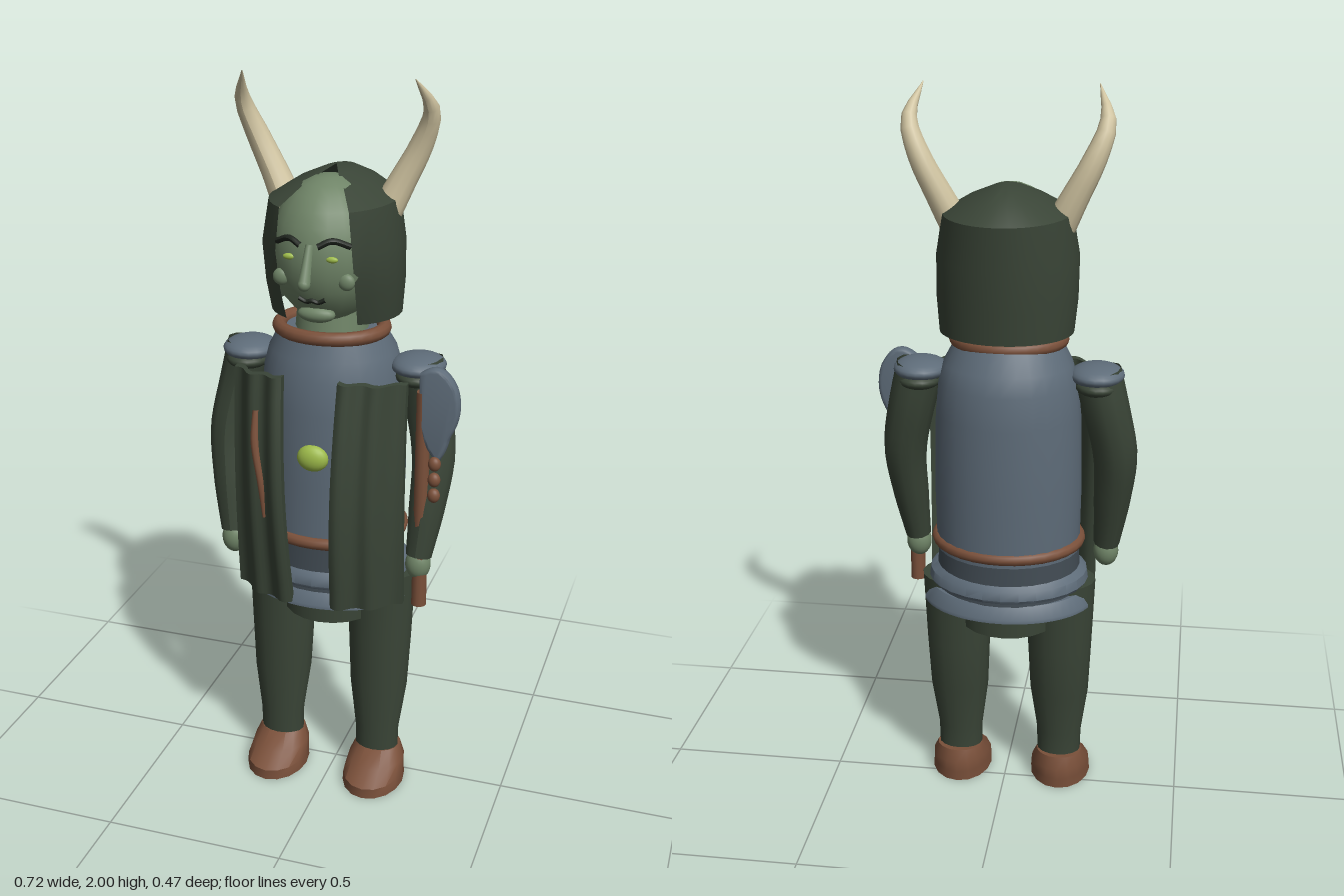
import * as THREE from 'three';
import { toCreasedNormals } from 'three/addons/utils/BufferGeometryUtils.js';

const mat = (name, color, side = THREE.FrontSide) => {
  const m = new THREE.MeshStandardMaterial({ color, side });
  m.name = name;
  return m;
};

export function createModel() {
  const cloth = mat('dark green cloth', 0x3a4537, THREE.DoubleSide);
  const steel = mat('blue grey steel', 0x5e6c79, THREE.DoubleSide);
  const darkSteel = mat('dark steel', 0x434d55);
  const skin = mat('green skin', 0x6f8467);
  const leather = mat('brown leather', 0x7a503a);
  const horn = mat('horn', 0xcfc3a0);
  const lime = mat('lime', 0x9dba4a);
  const ink = mat('dark brow', 0x20261f);

  const model = new THREE.Group();
  model.name = 'hornedFigure';
  const body = new THREE.Group();
  body.name = 'body';
  body.position.x = -0.012;
  model.add(body);

  const add = (name, geometry, material, x = 0, y = 0, z = 0) => {
    const mesh = new THREE.Mesh(geometry, material);
    mesh.name = name;
    mesh.position.set(x, y, z);
    body.add(mesh);
    return mesh;
  };
  const both = (fn) => [['right', -1], ['left', 1]].forEach(([n, s]) => fn(n, s));

  // Loft through elliptical rings [y, rx, rz, cx, cz], listed upwards
  const loft = (rows, sides = 20, a0 = 0, a1 = Math.PI * 2, cap = true, crease = 0.7) => {
    const r = rows.map(([y, rx, rz, cx = 0, cz = 0]) => [y, rx, rz, cx, cz]);
    if (cap) {
      const f = r[0], l = r[r.length - 1];
      r.unshift([f[0], 0, 0, f[3], f[4]]);
      r.push([l[0], 0, 0, l[3], l[4]]);
    }
    const pos = [], idx = [], n = sides + 1;
    r.forEach(([y, rx, rz, cx, cz], i) => {
      for (let j = 0; j < n; j++) {
        const a = a0 + (a1 - a0) * j / sides;
        pos.push(cx + rx * Math.sin(a), y, cz + rz * Math.cos(a));
        if (i < r.length - 1 && j < sides) {
          const p = i * n + j;
          idx.push(p, p + 1, p + n + 1, p, p + n + 1, p + n);
        }
      }
    });
    const g = new THREE.BufferGeometry();
    g.setAttribute('position', new THREE.Float32BufferAttribute(pos, 3));
    g.setIndex(idx);
    return toCreasedNormals(g, crease);
  };

  // Tapered tube through points [x, y, z, radius]
  const limb = (pts, sides = 12, steps = 16) => {
    const curve = new THREE.CatmullRomCurve3(pts.map((p) => new THREE.Vector3(p[0], p[1], p[2])));
    const g = new THREE.TubeGeometry(curve, steps, 1, sides, false);
    const p = g.attributes.position, v = new THREE.Vector3();
    for (let i = 0; i <= steps; i++) {
      const c = curve.getPointAt(i / steps);
      const t = curve.getUtoTmapping(i / steps) * (pts.length - 1);
      const k = Math.min(Math.floor(t), pts.length - 2);
      const rad = THREE.MathUtils.lerp(pts[k][3], pts[k + 1][3], t - k);
      for (let j = 0; j <= sides; j++) {
        const q = i * (sides + 1) + j;
        v.fromBufferAttribute(p, q).sub(c).multiplyScalar(rad).add(c);
        p.setXYZ(q, v.x, v.y, v.z);
      }
    }
    g.computeVertexNormals();
    return g;
  };
  const ball = (name, m, x, y, z, rx, ry = rx, rz = rx) => {
    const b = add(name, new THREE.SphereGeometry(1, 20, 14), m, x, y, z);
    b.scale.set(rx, ry, rz);
    return b;
  };
  const hoop = (name, y, z, rx, rz, tube) => {
    const t = add(name, new THREE.TorusGeometry(rx, tube, 10, 32).rotateX(Math.PI / 2), leather, 0, y, z);
    t.scale.z = rz / rx;
  };

  // Legs and shoes
  both((n, s) => {
    add(n + 'Leg', loft([
      [0.07, 0.062, 0.047, 0, 0.025], [0.16, 0.064, 0.05, 0, 0.025], [0.3, 0.083, 0.066, 0, 0.013],
      [0.45, 0.09, 0.076, 0, 0.005], [0.66, 0.098, 0.085, 0, 0]], 16), cloth, s * 0.145);
    add(n + 'Shoe', loft([
      [0, 0.087, 0.116, 0, 0.064], [0.03, 0.085, 0.117, 0, 0.063], [0.06, 0.08, 0.088, 0, 0.035],
      [0.095, 0.065, 0.058, 0, 0.018]], 16), leather, s * 0.147);
  });
  add('pelvis', loft([[0.525, 0.135, 0.13], [0.7, 0.14, 0.135]]), cloth);

  // Torso armour, belt and skirt plates
  add('torso', loft([
    [0.76, 0.197, 0.17, 0, -0.008], [0.95, 0.2, 0.176, 0, -0.012], [1.15, 0.195, 0.177, 0, -0.012],
    [1.24, 0.186, 0.172, 0, -0.014], [1.29, 0.172, 0.158, 0, -0.014], [1.35, 0.14, 0.13, 0, -0.005]], 28), steel);
  add('skirt', loft([[0.64, 0.2, 0.168], [0.77, 0.195, 0.168]], 28), darkSteel);
  hoop('belt', 0.785, -0.005, 0.195, 0.168, 0.017);
  add('upperPlate', loft([[0.655, 0.215, 0.178], [0.665, 0.222, 0.184], [0.69, 0.218, 0.18], [0.705, 0.2, 0.165]], 28), steel);
  [['frontPlate', -1.25], ['backPlate', Math.PI - 1.25]].forEach(([n, a]) =>
    add(n, loft([[0.6, 0.24, 0.188], [0.61, 0.24, 0.188], [0.642, 0.215, 0.165]], 20, a, a + 2.5), steel));
  ball('gem', lime, 0, 1.035, 0.163, 0.043, 0.037, 0.025);

  // Neck and collar
  add('neck', new THREE.CylinderGeometry(0.085, 0.1, 0.16, 20), skin, 0, 1.4, -0.005);
  hoop('collar', 1.35, 0, 0.14, 0.122, 0.019);

  // Arms, hands and shoulder plates
  both((n, s) => {
    add(n + 'Sleeve', limb([
      [s * 0.235, 1.27, -0.015, 0.065], [s * 0.26, 1.17, -0.012, 0.063], [s * 0.287, 1.03, 0.01, 0.06],
      [s * 0.28, 0.88, 0.04, 0.05], [s * 0.267, 0.745, 0.065, 0.036]]), cloth);
    ball(n + 'Hand', skin, s * 0.266, 0.72, 0.067, 0.035, 0.045, 0.032);
    ball(n + 'ShoulderRim', cloth, s * 0.237, 1.235, -0.012, 0.062, 0.028, 0.08);
    ball(n + 'ShoulderPlate', steel, s * 0.235, 1.262, -0.012, 0.073, 0.03, 0.08);
  });

  // Folded cloak panels hanging over the chest
  both((n, s) => {
    const g = new THREE.BoxGeometry(1, 1, 1, 16, 10, 1);
    const p = g.attributes.position;
    for (let i = 0; i < p.count; i++) {
      const u = s * p.getX(i) + 0.5, v = p.getY(i) + 0.5; // u: 0 inner, 1 outer
      const inner = THREE.MathUtils.lerp(0.055, 0.075, v);
      const bulge = 0.035 * Math.sin(Math.PI * v) * (1 - 0.5 * u);
      const z = 0.178 - 0.085 * u * u + 0.01 * Math.sin(u * 13) + bulge;
      p.setXYZ(i, s * THREE.MathUtils.lerp(inner, 0.235, u), 0.61 + 0.65 * v - 0.015 * u * v, z + p.getZ(i) * 0.022);
    }
    add(n + 'CloakPanel', toCreasedNormals(g, 0.9), cloth);
  });
  add('cloakStrap', limb([[-0.145, 1.165, 0.195, 0.008], [-0.143, 1.08, 0.212, 0.011],
    [-0.125, 0.97, 0.222, 0.009], [-0.12, 0.87, 0.215, 0.004]], 8), leather);

  // Hand axe held on the left
  add('axeHandle', new THREE.CylinderGeometry(0.019, 0.021, 0.62, 12), leather, 0.272, 0.91, 0.072);
  const blade = new THREE.Shape();
  blade.moveTo(0.262, 1.27);
  blade.quadraticCurveTo(0.32, 1.32, 0.36, 1.24);
  blade.quadraticCurveTo(0.385, 1.17, 0.345, 1.1);
  blade.quadraticCurveTo(0.335, 1.05, 0.315, 1.03);
  blade.quadraticCurveTo(0.28, 1.06, 0.262, 1.13);
  add('axeBlade', toCreasedNormals(new THREE.ExtrudeGeometry(blade, {
    depth: 0.012, bevelThickness: 0.012, bevelSize: 0.01, bevelOffset: -0.01, bevelSegments: 3, curveSegments: 8
  }), 0.8), steel, 0, 0, 0.067);
  [1.03, 0.985, 0.94].forEach((y) => ball('axeBead', leather, 0.31, y, 0.092, 0.017, 0.02, 0.015));

  // Head and face
  const faceZ = (x, y) => 0.02 + 0.163 * Math.sqrt(Math.max(0, 1 - (x / 0.15) ** 2 - ((y - 1.565) / 0.19) ** 2));
  ball('head', skin, 0, 1.565, 0.02, 0.15, 0.19, 0.163);
  add('nose', limb([[0, 1.61, 0.178, 0.01], [0, 1.56, 0.202, 0.013], [0, 1.522, 0.22, 0.016]], 10), skin);
  ball('noseTip', skin, 0, 1.521, 0.22, 0.016);
  ball('chin', skin, 0, 1.418, 0.125, 0.05, 0.022, 0.025);
  const stroke = (name, pts, r) =>
    add(name, limb(pts.map(([x, y]) => [x, y, faceZ(x, y) + 0.004, r]), 8, 12), ink);
  both((n, s) => {
    ball(n + 'Eye', lime, s * 0.056, 1.576, faceZ(0.056, 1.576), 0.016, 0.008, 0.007);
    ball(n + 'Cheek', skin, s * 0.086, 1.515, faceZ(0.086, 1.515), 0.022, 0.022, 0.014);
    stroke(n + 'Brow', [[s * 0.022, 1.608], [s * 0.055, 1.622], [s * 0.096, 1.606]], 0.008);
  });
  stroke('mouth', [[-0.035, 1.468], [-0.015, 1.459], [0, 1.464], [0.015, 1.459], [0.035, 1.468]], 0.006);

  // Hair parted over the face
  add('hair', loft([
    [1.385, 0.175, 0.155, 0, -0.045], [1.47, 0.183, 0.178, 0, -0.033], [1.58, 0.184, 0.202, 0, -0.022],
    [1.69, 0.165, 0.205, 0, -0.028], [1.73, 0.1, 0.14, 0, -0.045], [1.753, 0.045, 0.085, 0, -0.05],
    [1.768, 0, 0, 0, -0.04]], 28, 0.58, Math.PI * 2 - 0.58, false, 0.8), cloth);

  // Horns
  both((n, s) => add(n + 'Horn', limb([
    [s * 0.13, 1.65, -0.04, 0.042], [s * 0.17, 1.73, -0.052, 0.036], [s * 0.22, 1.83, -0.055, 0.03],
    [s * 0.248, 1.915, -0.032, 0.022], [s * 0.222, 2.0, 0.035, 0.001]], 12, 12), horn));

  return model;
}
